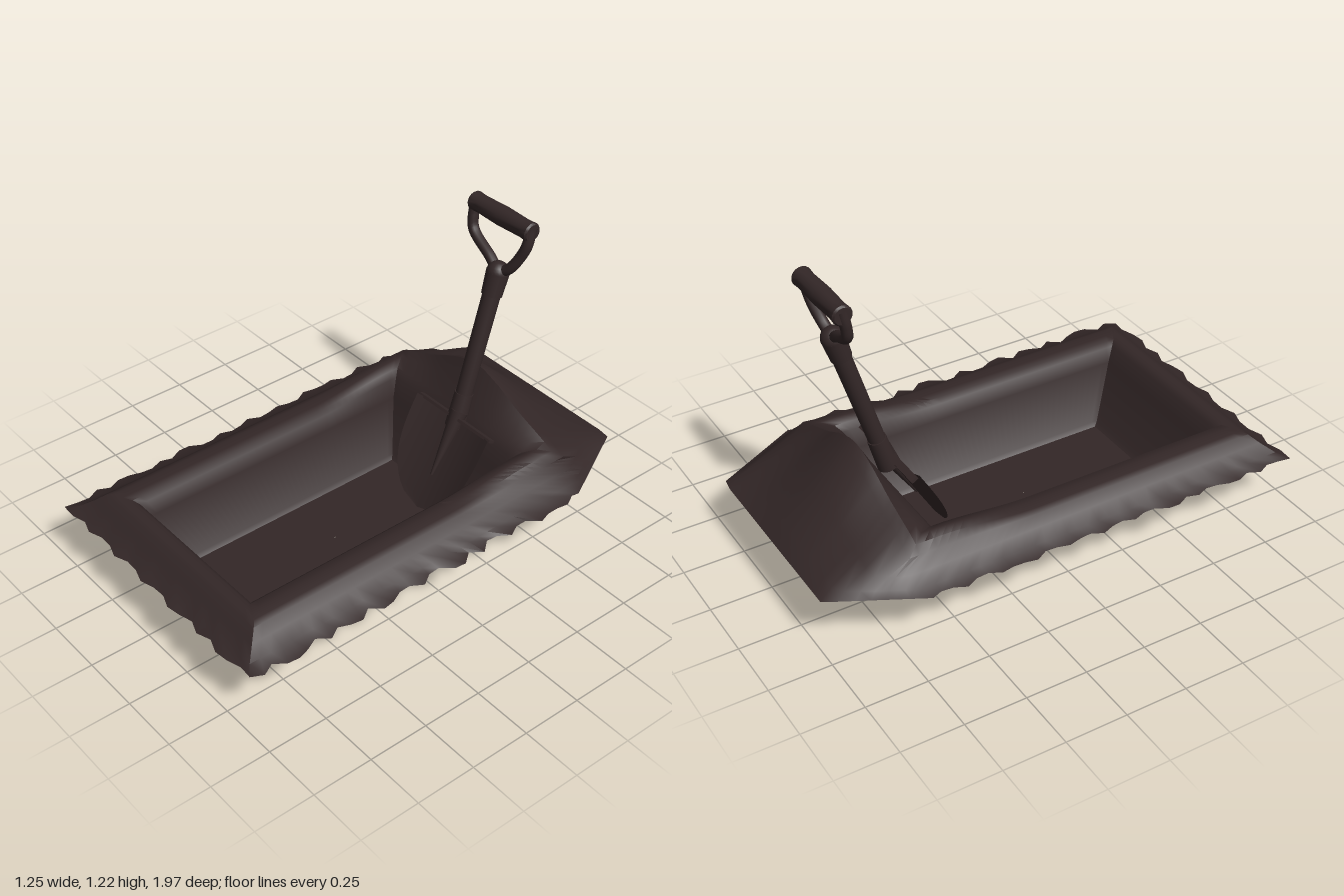
import * as THREE from 'three';
import { toCreasedNormals } from 'three/addons/utils/BufferGeometryUtils.js';

const soil = new THREE.MeshStandardMaterial({ color: 0x332727, side: THREE.DoubleSide });
soil.name = 'dark brown';

const V = (x, y, z) => new THREE.Vector3(x, y, z);
const smooth = THREE.MathUtils.smoothstep;

function add(group, name, geometry) {
  const mesh = new THREE.Mesh(geometry, soil);
  mesh.name = name;
  group.add(mesh);
  return mesh;
}

// round bar between two points
function rod(group, name, a, b, ra, rb) {
  const mesh = add(group, name, new THREE.CylinderGeometry(rb, ra, a.distanceTo(b), 20));
  mesh.position.copy(a).lerp(b, 0.5);
  mesh.quaternion.setFromUnitVectors(V(0, 1, 0), b.clone().sub(a).normalize());
  return mesh;
}

// piecewise linear lookup
function lookup(points, t) {
  for (let i = 1; i < points.length; i++) {
    const [t0, v0] = points[i - 1], [t1, v1] = points[i];
    if (t <= t1) return v0 + (v1 - v0) * (t - t0) / (t1 - t0);
  }
  return points[points.length - 1][1];
}

// ridge of the soil heap across x
const ridge = x => lookup([[0, 1], [0.05, 0.97], [0.14, 0.8], [0.25, 0.5], [0.4, 0.2], [0.48, 0]], Math.abs(x));

// pit, raised rim and heap as one skin of rectangular rings
function groundGeometry() {
  // half width, back z, front z, height, heap lift, rise of the sides to the back
  const rings = [
    [0.001, 0.11, 0.12, 0.01, 0, 0],
    [0.24, -0.385, 0.625, 0.008, 0, 0],
    [0.255, -0.4, 0.645, 0.025, 0, 0],
    [0.335, -0.47, 0.75, 0.24, 0, 0],
    [0.355, -0.5, 0.78, 0.3, 0, 0.02],
    [0.375, -0.525, 0.8, 0.318, 0.02, 0.025],
    [0.41, -0.575, 0.82, 0.32, 0.1, 0.025],
    [0.45, -0.62, 0.835, 0.32, 0.19, 0.02],
    [0.475, -0.66, 0.855, 0.312, 0.19, 0.01],
    [0.51, -0.8, 0.89, 0.28, 0.1, 0],
    [0.555, -0.93, 0.935, 0.245, 0.04, 0],
    [0.595, -0.99, 0.965, 0.23, 0, 0],
  ];
  let seed = 7;
  const rand = () => (seed = (seed * 16807) % 2147483647) / 2147483647;

  // walk around a unit rectangle: front, left, back, right
  const path = [];
  const nx = 20, nz = 40;
  for (let i = 0; i < nx; i++) path.push([-1 + 2 * i / nx, 1]);
  for (let i = 0; i < nz; i++) path.push([1, 1 - 2 * i / nz]);
  for (let i = 0; i < nx; i++) path.push([1 - 2 * i / nx, -1]);
  for (let i = 0; i < nz; i++) path.push([-1, -1 + 2 * i / nz]);
  const n = path.length;

  // ragged outer edge, almost straight at the back
  const jag = path.map(([u, v], i) => {
    if (v === -1) return 0;
    const size = v === 1 ? 0.02 : u === 1 ? 0.04 : 0.022;
    return (i % 3 === 0 || rand() > 0.8 ? 0.4 + 0.6 * rand() : -0.35 * rand()) * size;
  });

  const pos = [], index = [];
  rings.forEach(([w, back, front, y, lift, rise], r) => {
    path.forEach(([u, v], i) => {
      let x = u * w + 0.005;
      let z = (front + back) / 2 + v * (front - back) / 2;
      if (r === rings.length - 1) {
        if (Math.abs(u) === 1) x += u * jag[i];
        if (v === 1) z += jag[i];
      }
      // chopped back corners
      if (r > 8 && z < 0) {
        const k = 0.34 * Math.abs(x) + 0.18 * -z;
        const limit = 0.319 - (rings.length - 1 - r) * 0.012;
        if (k > limit) { x *= limit / k; z *= limit / k; }
      }
      const h = y + lift * ridge(x) * smooth(-z, 0.1, 0.58) + rise * smooth(-z, 0.1, 0.5);
      pos.push(x, h, z);
      if (r > 0) {
        const j = (i + 1) % n, a = (r - 1) * n, b = r * n;
        index.push(a + i, b + i, b + j, a + i, b + j, a + j);
      }
    });
  });
  const g = new THREE.BufferGeometry();
  g.setAttribute('position', new THREE.Float32BufferAttribute(pos, 3));
  g.setIndex(index);
  return toCreasedNormals(g, 0.7);
}

// rounded, slightly dished shovel blade hanging down from its top edge
function bladeGeometry() {
  const g = new THREE.PlaneGeometry(2, 1, 14, 16);
  const p = g.attributes.position;
  for (let i = 0; i < p.count; i++) {
    const v = 0.5 - p.getY(i);
    const x = p.getX(i) * 0.21 * Math.sqrt(Math.max(0, 1 - v ** 3));
    p.setXYZ(i, x, -0.41 * v, 0.9 * x * x);
  }
  g.computeVertexNormals();
  return g;
}

export function createModel() {
  const model = new THREE.Group();
  model.name = 'pitWithShovel';
  add(model, 'ground', groundGeometry());

  const shovel = new THREE.Group();
  shovel.name = 'shovel';
  model.add(shovel);

  // blade, step edge and ridge
  const blade = new THREE.Group();
  blade.name = 'bladeGroup';
  blade.position.set(0.075, 0.372, -0.465);
  blade.rotation.x = -0.54;
  shovel.add(blade);
  add(blade, 'blade', bladeGeometry());
  const step = add(blade, 'bladeStep', new THREE.BoxGeometry(0.42, 0.012, 0.03));
  step.position.z = 0.015;
  rod(blade, 'bladeRidge', V(0, -0.26, 0), V(0, 0.03, 0.01), 0.006, 0.036);

  // socket, shaft and collar
  const low = V(0.065, 0.35, -0.465), top = V(0.055, 0.99, -0.668);
  const along = t => low.clone().lerp(top, t);
  rod(shovel, 'socket', along(-0.03), along(0.19), 0.042, 0.038);
  rod(shovel, 'shaft', along(0.1), along(0.9), 0.034, 0.037);
  rod(shovel, 'collar', along(0.83), along(0.97), 0.042, 0.047);
  add(shovel, 'collarTop', new THREE.SphereGeometry(0.047, 20, 12)).position.copy(along(0.97));

  // forked handle arms
  for (const [side, x] of [['Right', -0.135], ['Left', 0.168]]) {
    const s = Math.sign(x);
    const curve = new THREE.CatmullRomCurve3([
      along(0.97), V(0.055 + s * 0.055, 1.01, -0.672),
      V(x * 0.88, 1.075, -0.69), V(x, 1.13, -0.7), V(x, 1.2, -0.717),
    ]);
    add(shovel, 'arm' + side, new THREE.TubeGeometry(curve, 24, 0.022, 12));
  }

  // grip bar
  const profile = [[0, -0.165], [0.034, -0.165], [0.04, -0.157], [0.037, -0.12], [0.041, 0],
    [0.037, 0.12], [0.04, 0.157], [0.034, 0.165], [0, 0.165]].map(p => new THREE.Vector2(...p));
  const grip = add(shovel, 'grip', toCreasedNormals(new THREE.LatheGeometry(profile, 24), 0.6));
  grip.position.set(0.014, 1.182, -0.715);
  grip.rotation.z = -Math.PI / 2;
  return model;
}
